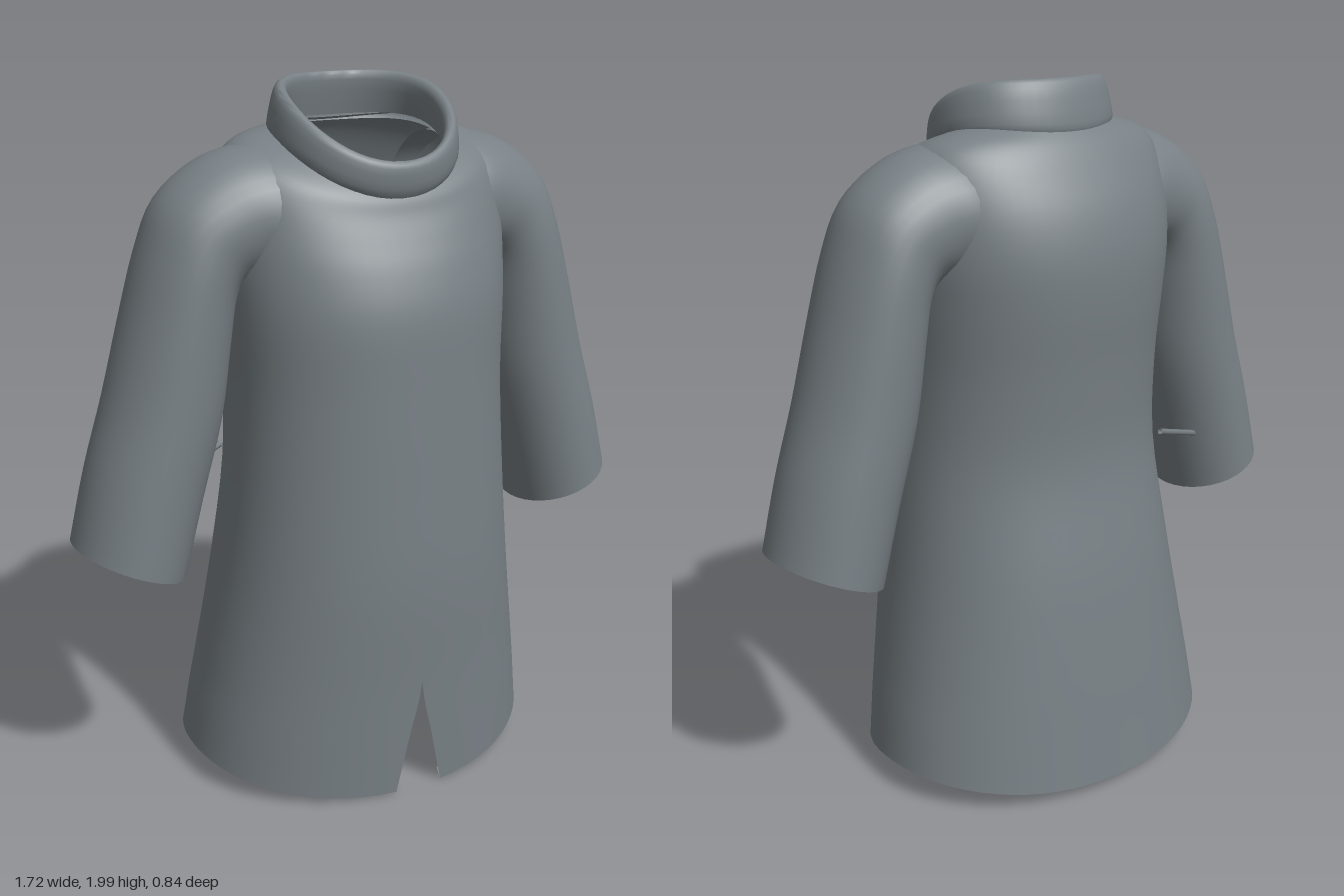
import * as THREE from 'three';
import { toCreasedNormals } from 'three/addons/utils/BufferGeometryUtils.js';

const cloth = new THREE.MeshStandardMaterial({ color: 0x788085, side: THREE.DoubleSide });

// Insert smooth in-between rows (Catmull-Rom on every column).
function smooth(rows, steps) {
  const out = [];
  const at = (i) => rows[Math.min(Math.max(i, 0), rows.length - 1)];
  for (let i = 0; i < rows.length - 1; i++) {
    for (let k = 0; k < steps; k++) {
      const t = k / steps;
      out.push(rows[i].map((p1, c) => {
        const p0 = at(i - 1)[c], p2 = at(i + 1)[c], p3 = at(i + 2)[c];
        return 0.5 * (2 * p1 + (p2 - p0) * t + (2 * p0 - 5 * p1 + 4 * p2 - p3) * t * t
          + (3 * p1 - p0 - 3 * p2 + p3) * t * t * t);
      }));
    }
  }
  out.push(rows[rows.length - 1]);
  return out;
}

// Skin a stack of cross-sections; point(row, u) gives a position, u from 0 to 1.
function loft(name, rows, point, segments) {
  const positions = [], index = [], n = segments + 1;
  rows.forEach((row, i) => {
    for (let j = 0; j <= segments; j++) {
      positions.push(...point(row, j / segments));
      if (i < rows.length - 1 && j < segments) {
        const a = i * n + j;
        index.push(a, a + 1, a + n + 1, a, a + n + 1, a + n);
      }
    }
  });
  const geometry = new THREE.BufferGeometry();
  geometry.setAttribute('position', new THREE.Float32BufferAttribute(positions, 3));
  geometry.setIndex(index);
  const mesh = new THREE.Mesh(toCreasedNormals(geometry, 0.8), cloth);
  mesh.name = name;
  return mesh;
}

// Slightly squared ellipse.
const round = (v) => Math.sign(v) * Math.pow(Math.abs(v), 0.93);

// Row: front y, back y, half width, front z, back z, side lift, slit half angle.
function torsoPoint([yF, yB, rx, zF, zB, lift, slit], u) {
  const open = Math.max(slit, 0);
  const angle = open + u * (2 * Math.PI - 2 * open);
  const s = round(Math.sin(angle)), c = round(Math.cos(angle));
  return [
    rx * s,
    (yF + yB) / 2 + (yF - yB) / 2 * c + lift * (1 - c * c),
    (zF + zB) / 2 + (zF - zB) / 2 * c,
  ];
}

// Row: outer x, outer y, inner x, inner y, half depth.
const sleevePoint = (side) => ([ox, oy, ix, iy, rz], u) => {
  const angle = u * 2 * Math.PI;
  const s = Math.sin(angle) * side;
  return [
    side * ((ox + ix) / 2 + (ox - ix) / 2 * s),
    (oy + iy) / 2 + (oy - iy) / 2 * s,
    0.012 + rz * Math.cos(angle),
  ];
};

export function createModel() {
  const model = new THREE.Group();
  model.name = 'tunic';

  // Flared body with a front slit, rising to the tilted neckline
  const body = smooth([
    [0.01, 0.04, 0.535, 0.40, -0.42, 0.065, 0.12],
    [0.18, 0.20, 0.515, 0.405, -0.40, 0.03, 0.06],
    [0.36, 0.36, 0.49, 0.41, -0.38, 0, 0],
    [0.65, 0.65, 0.443, 0.42, -0.34, 0, 0],
    [0.95, 0.95, 0.41, 0.41, -0.287, 0, 0],
    [1.20, 1.20, 0.40, 0.40, -0.293, 0, 0],
    [1.40, 1.40, 0.41, 0.39, -0.31, 0, 0],
    [1.52, 1.54, 0.42, 0.36, -0.31, 0.01, 0],
    [1.60, 1.66, 0.42, 0.325, -0.285, 0.04, 0],
    [1.66, 1.76, 0.40, 0.295, -0.24, 0.075, 0],
    [1.70, 1.83, 0.35, 0.28, -0.20, 0.07, 0],
    [1.725, 1.87, 0.25, 0.265, -0.165, 0.06, 0],
  ], 4);
  // turned-in hem edge
  body.unshift([0.04, 0.07, 0.515, 0.385, -0.405, 0.065, 0.12]);
  model.add(loft('body', body, torsoPoint, 64));

  // Stand-up collar with a rolled rim and an inner face
  const collar = smooth([
    [1.70, 1.86, 0.245, 0.27, -0.17, 0.05, 0],
    [1.73, 1.885, 0.262, 0.287, -0.172, 0.05, 0],
    [1.785, 1.975, 0.248, 0.293, -0.15, 0.055, 0],
    [1.805, 2.0, 0.228, 0.28, -0.128, 0.05, 0],
    [1.79, 1.975, 0.21, 0.265, -0.12, 0.045, 0],
    [1.73, 1.88, 0.222, 0.25, -0.14, 0.045, 0],
  ], 3);
  model.add(loft('collar', collar, torsoPoint, 48));

  // Wide sleeves, from the cuff up into the shoulder
  const sleeve = smooth([
    [0.86, 0.80, 0.56, 0.68, 0.188],
    [0.81, 1.0, 0.50, 0.90, 0.186],
    [0.75, 1.19, 0.435, 1.13, 0.185],
    [0.69, 1.40, 0.405, 1.33, 0.184],
    [0.635, 1.58, 0.385, 1.45, 0.182],
    [0.575, 1.715, 0.35, 1.48, 0.18],
    [0.46, 1.805, 0.30, 1.47, 0.19],
    [0.34, 1.84, 0.25, 1.46, 0.205],
    [0.24, 1.84, 0.20, 1.46, 0.20],
  ], 4);
  // turned-in cuff edge
  sleeve.unshift([0.835, 0.825, 0.57, 0.72, 0.172]);
  for (const side of [1, -1]) {
    model.add(loft(side > 0 ? 'leftSleeve' : 'rightSleeve', sleeve, sleevePoint(side), 36));
  }

  // Thin thread between the body and the right sleeve
  const path = new THREE.LineCurve3(
    new THREE.Vector3(-0.35, 0.95, -0.17), new THREE.Vector3(-0.6, 0.87, -0.095));
  const thread = new THREE.Mesh(new THREE.TubeGeometry(path, 1, 0.009, 6), cloth);
  thread.name = 'thread';
  model.add(thread);

  return model;
}
